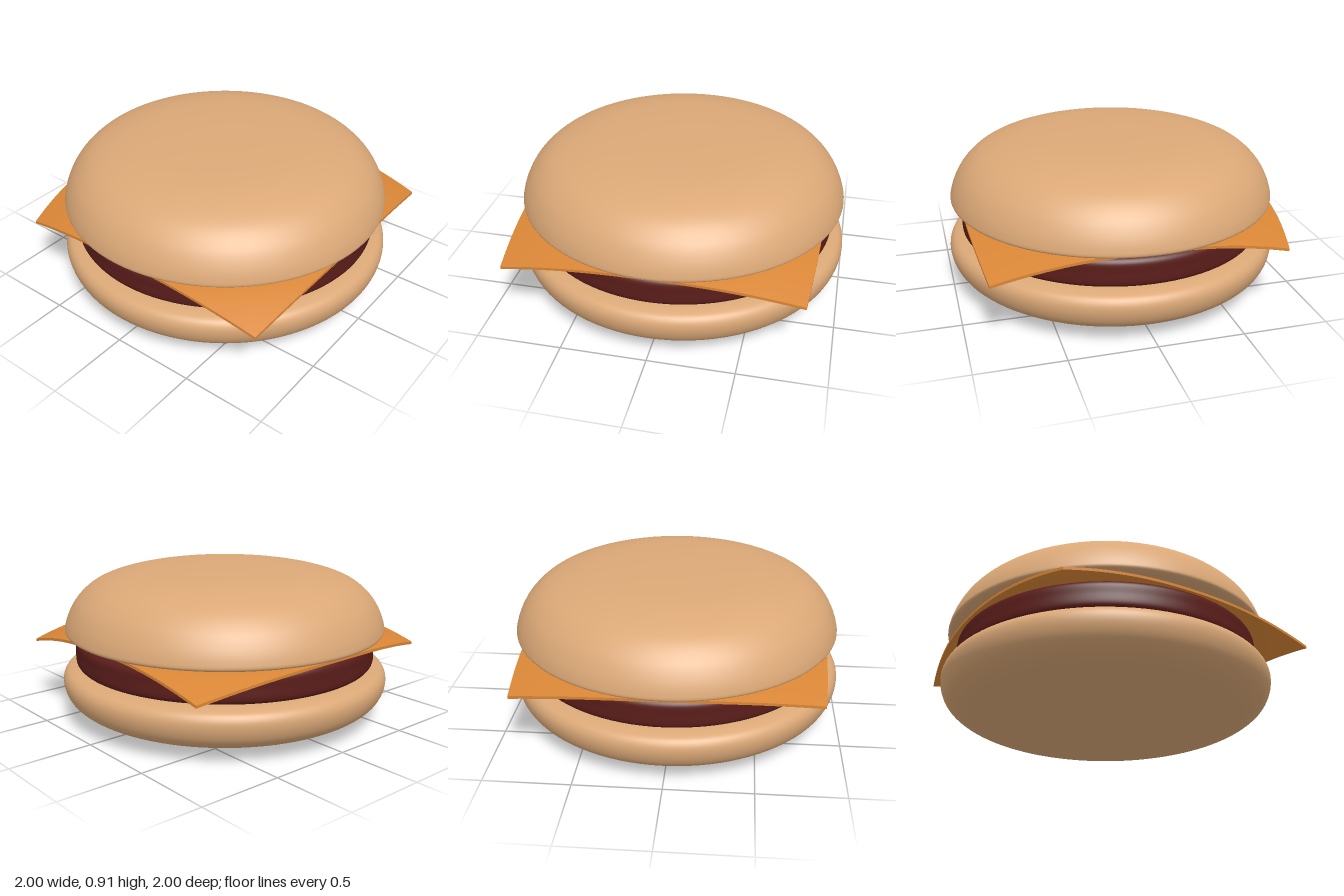
import * as THREE from 'three';

// Smooth round part turned from a rounded profile, listed from bottom to top
function turned(name, color, profile, samples = 48) {
  const curve = new THREE.CatmullRomCurve3(profile.map(([r, y]) => new THREE.Vector3(r, y, 0)), false, 'centripetal');
  const pts = curve.getPoints(samples).map(p => new THREE.Vector2(Math.max(p.x, 0), p.y));
  const mesh = new THREE.Mesh(new THREE.LatheGeometry(pts, 96), new THREE.MeshStandardMaterial({ color }));
  mesh.name = name;
  return mesh;
}

// Thin square slice: edges bulge slightly, corners droop over the patty
function cheeseSlice() {
  const geo = new THREE.BoxGeometry(2, 0.016, 2, 40, 1, 40);
  const pos = geo.attributes.position;
  const lerp = THREE.MathUtils.lerp;
  for (let i = 0; i < pos.count; i++) {
    const u = pos.getX(i), v = pos.getZ(i);
    const s = (u + 1) / 2, t = (v + 1) / 2;
    const right = lerp(0.87, 0.845, t) + 0.03 * (1 - v * v);
    const left = -0.87 - 0.04 * (1 - v * v);
    const front = lerp(0.86, 0.87, s) + 0.06 * (1 - u * u);
    const back = lerp(-0.78, -0.8, s) - 0.13 * (1 - u * u);
    const x = lerp(left, right, s), z = lerp(back, front, t);
    const over = Math.max(0, Math.hypot(x, z) - 0.9) / 0.3;
    pos.setXYZ(i, x, 0.513 + pos.getY(i) - 0.1 * Math.pow(over, 1.25), z);
  }
  geo.computeVertexNormals();
  const mesh = new THREE.Mesh(geo, new THREE.MeshStandardMaterial({ color: 0xd98636, side: THREE.DoubleSide }));
  mesh.name = 'cheeseSlice';
  return mesh;
}

export function createModel() {
  const group = new THREE.Group();
  group.name = 'burger';
  const bun = 0xdba877;

  group.add(turned('bottomBun', bun, [
    [0, 0.003], [0.3, 0.008], [0.6, 0.025], [0.8, 0.055], [0.91, 0.095], [0.97, 0.145],
    [0.998, 0.21], [0.998, 0.265], [0.975, 0.302], [0.93, 0.32], [0.86, 0.328], [0.5, 0.33], [0, 0.33],
  ], 64));

  group.add(turned('patty', 0x5a1d1a, [
    [0, 0.328], [0.5, 0.328], [0.87, 0.329], [0.9, 0.335], [0.917, 0.355],
    [0.919, 0.42], [0.917, 0.475], [0.9, 0.497], [0.87, 0.504], [0.5, 0.505], [0, 0.505],
  ], 64));

  group.add(cheeseSlice());

  group.add(turned('topBun', bun, [
    [0, 0.521], [0.5, 0.521], [0.88, 0.522], [0.95, 0.53], [0.978, 0.545], [0.975, 0.58],
    [0.95, 0.65], [0.9, 0.73], [0.8, 0.815], [0.6, 0.881], [0.3, 0.909], [0, 0.915],
  ], 64));

  return group;
}
